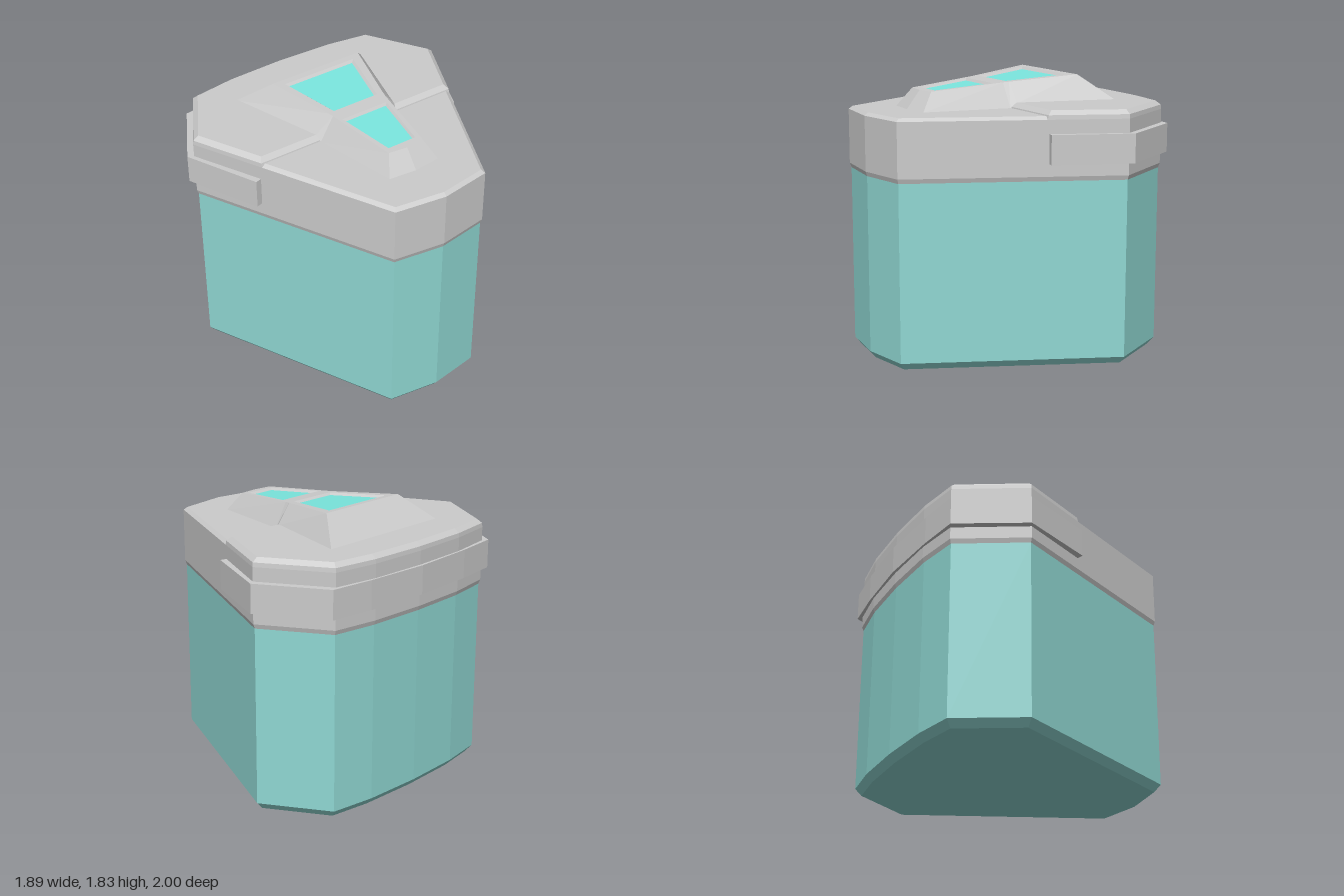
import * as THREE from 'three';

const grey = new THREE.MeshStandardMaterial({ color: 0xcccccc, flatShading: true });
const teal = new THREE.MeshStandardMaterial({ color: 0x90d8d3, flatShading: true });
const glass = new THREE.MeshStandardMaterial({ color: 0x7ae6de, flatShading: true });

// Completes a half outline [x, z] (z >= 0) by mirroring it across z = 0
const mirror = (half) => [
  ...half,
  ...half.filter((p) => p[1] > 0).reverse().map(([x, z]) => [x, -z]),
];

// Half footprint of the container, from right tip to left end
const halfPlan = [[0.93, 0], [0.88, 0.34], [-0.43, 0.95], [-0.86, 0.7], [-0.905, 0.4], [-0.92, 0]];
const plan = mirror(halfPlan);

// Mitred offset of the footprint (positive = outward)
function offset(d) {
  const n = plan.length;
  const normal = (a, b) => {
    const dx = b[0] - a[0], dz = b[1] - a[1], l = Math.hypot(dx, dz);
    return [dz / l, -dx / l];
  };
  return plan.map((p, i) => {
    const a = normal(plan[(i + n - 1) % n], p), b = normal(p, plan[(i + 1) % n]);
    const k = d / (1 + a[0] * b[0] + a[1] * b[1]);
    return [p[0] + (a[0] + b[0]) * k, p[1] + (a[1] + b[1]) * k];
  });
}

// Places an outline at a height, given as a number or a rule y(x)
const at = (outline, y) =>
  outline.map(([x, z]) => [x, typeof y === 'function' ? y(x) : y, z]);

// Skins a stack of rings, optionally closing the bottom and top
function loft(rings, bottom, top) {
  const v = [];
  const n = rings[0].length;
  for (let r = 0; r < rings.length - 1; r++) {
    for (let i = 0; i < n; i++) {
      const j = (i + 1) % n;
      const a = rings[r][i], b = rings[r][j], c = rings[r + 1][i], d = rings[r + 1][j];
      v.push(...a, ...c, ...b, ...b, ...c, ...d);
    }
  }
  const cap = (ring, up) => {
    const mid = [0, 1, 2].map((k) => ring.reduce((s, p) => s + p[k], 0) / n);
    ring.forEach((a, i) => {
      const b = ring[(i + 1) % n];
      v.push(...mid, ...(up ? b : a), ...(up ? a : b));
    });
  };
  if (bottom) cap(rings[0], false);
  if (top) cap(rings[rings.length - 1], true);
  const g = new THREE.BufferGeometry();
  g.setAttribute('position', new THREE.Float32BufferAttribute(v, 3));
  g.computeVertexNormals();
  return g;
}

// Flat shape seen from above, z mapped to -y
const toPoints = (outline) => outline.map(([x, z]) => new THREE.Vector2(x, -z));

export function createModel() {
  const group = new THREE.Group();
  const add = (name, geometry, material) => {
    const m = new THREE.Mesh(geometry, material);
    m.name = name;
    group.add(m);
  };

  // Container with a bevelled foot
  add('body', loft([at(offset(-0.04), 0), at(plan, 0.05), at(plan, 1.22)], true, true), teal);

  // Lid with a flared lower lip and a bevelled top edge
  add('lid', loft([
    at(plan, 1.22), at(offset(0.01), 1.25), at(offset(0.01), 1.61), at(offset(-0.015), 1.63),
  ], true, true), grey);

  // Raised left part of the lid, ending in a sloped step
  const raisedRing = (d, cut, y) => {
    const o = offset(d), [p, q] = [o[1], o[2]];
    const t = (cut - p[0]) / (q[0] - p[0]);
    const half = [[cut, p[1] + (q[1] - p[1]) * t], ...o.slice(2, halfPlan.length - 1)];
    return at(mirror([...half, [o[halfPlan.length - 1][0], 0]]), y);
  };
  add('raisedLid', loft([
    raisedRing(0.01, 0.04, 1.61), raisedRing(0.007, 0.032, 1.638), raisedRing(-0.025, 0, 1.665),
  ], false, true), grey);

  // Strap wrapped round the left end
  const outer = [[0.04, 0.79], [-0.45, 1.0], [-0.89, 0.75], [-0.925, 0.45], [-0.95, 0]];
  const inner = [[0.02, 0.72], [-0.43, 0.93], [-0.84, 0.69], [-0.88, 0.4], [-0.9, 0]];
  const openPath = (half) => [...half, ...half.slice(0, -1).reverse().map(([x, z]) => [x, -z])];
  const strap = new THREE.ExtrudeGeometry(
    new THREE.Shape(toPoints([...openPath(outer), ...openPath(inner).reverse()])),
    { depth: 0.19, bevelEnabled: false },
  );
  strap.rotateX(-Math.PI / 2).translate(0, 1.33, 0);
  add('strap', strap, grey);

  // Sloped sides of the hatch
  const slope = (x) => 1.825 - 0.0765 * (x + 0.45);
  const deck = mirror([[0.545, 0], [0.53, 0.13], [0.04, 0.205], [0, 0.215], [-0.45, 0.34]]);
  const foot = mirror([[0.64, 0], [0.62, 0.19], [0.04, 0.3], [0, 0.315], [-0.645, 0.505]]);
  const footY = (x) => (x > 0.01 ? 1.628 : 1.66);
  add('hatchSides', loft([at(foot, footY), at(deck, slope)]), grey);

  // Two tapered windows: [left x, half width, right x, half width]
  const quad = ([x0, w0, x1, w1]) => mirror([[x1, w1], [x0, w0]]);
  const windows = [
    { rim: [-0.405, 0.27, 0, 0.17], pane: [-0.39, 0.25, -0.015, 0.157] },
    { rim: [0.1, 0.172, 0.49, 0.103], pane: [0.113, 0.155, 0.475, 0.093] },
  ];

  // Hatch top with window openings
  const shape = new THREE.Shape(toPoints(deck));
  for (const w of windows) shape.holes.push(new THREE.Path(toPoints(quad(w.rim))));
  const top = new THREE.ShapeGeometry(shape).rotateX(-Math.PI / 2);
  const pos = top.attributes.position;
  for (let i = 0; i < pos.count; i++) pos.setY(i, slope(pos.getX(i)));
  top.computeVertexNormals();
  add('hatchTop', top, grey);

  // Recessed frames and panes
  for (const w of windows) {
    const pane = at(quad(w.pane), (x) => slope(x) - 0.015);
    add('windowFrame', loft([at(quad(w.rim), slope), pane]), grey);
    add('windowPane', loft([pane], false, true), glass);
  }
  return group;
}
